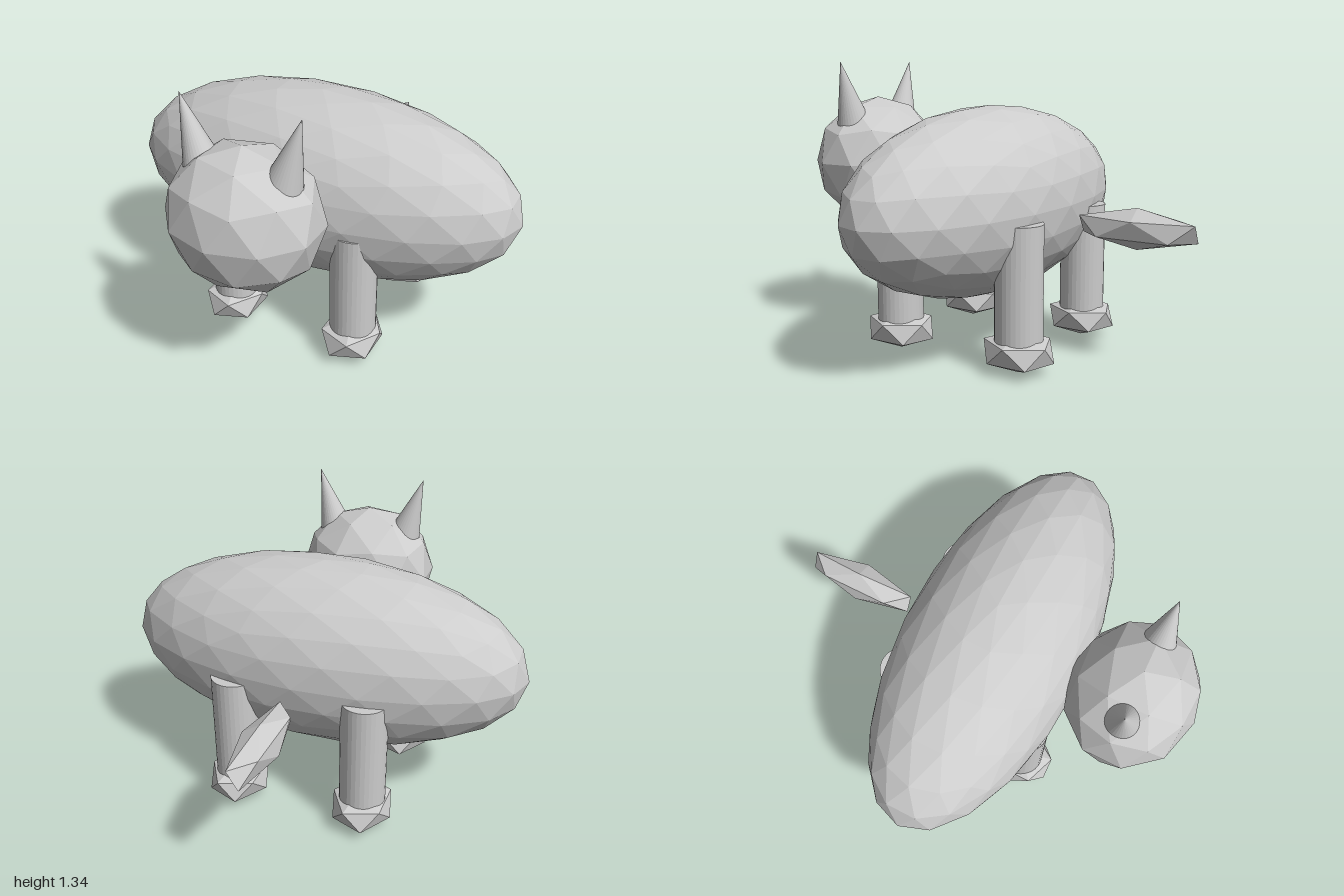
import * as THREE from 'three';

const grey = new THREE.MeshStandardMaterial({ color: 0xcccccc, flatShading: true });
grey.name = 'grey';

function addPart(parent, name, geometry, x, y, z) {
  const mesh = new THREE.Mesh(geometry, grey);
  mesh.name = name;
  mesh.position.set(x, y, z);
  parent.add(mesh);
  return mesh;
}

// Faceted ellipsoid with a vertex at each pole
function facetedBall(rx, ry, rz, detail) {
  const g = new THREE.IcosahedronGeometry(1, detail);
  g.rotateZ(-Math.atan(2 / (1 + Math.sqrt(5))));
  g.scale(rx, ry, rz);
  g.computeVertexNormals();
  return g;
}

export function createModel() {
  const model = new THREE.Group();
  model.name = 'animal';

  addPart(model, 'body', facetedBall(0.96, 0.437, 0.43, 3), 0, 0.7, 0.04);
  addPart(model, 'head', facetedBall(0.343, 0.317, 0.295, 1), 0, 0.847, 0.705);
  addPart(model, 'tail', facetedBall(0.09, 0.092, 0.31, 0), 0, 0.625, -0.705);

  // Ears: cones leaning outwards, measured from the tip
  const earGeometry = new THREE.ConeGeometry(0.1, 0.38, 32);
  earGeometry.translate(0, -0.19, 0);
  for (const side of [-1, 1]) {
    const ear = addPart(model, side > 0 ? 'leftEar' : 'rightEar', earGeometry, side * 0.27, 1.337, 0.71);
    ear.rotation.z = -side * 0.28;
  }

  // Legs, each with a low-poly foot
  const legGeometry = new THREE.CylinderGeometry(0.107, 0.107, 0.58, 32);
  const footGeometry = facetedBall(0.154, 0.097, 0.179, 0);
  for (const [end, z] of [['front', 0.34], ['rear', -0.3]]) {
    for (const side of [-1, 1]) {
      const leg = new THREE.Group();
      leg.name = end + (side > 0 ? 'LeftLeg' : 'RightLeg');
      leg.position.set(side * 0.312, 0, z);
      addPart(leg, 'shin', legGeometry, 0, 0.37, 0);
      addPart(leg, 'foot', footGeometry, 0, 0.097, 0);
      model.add(leg);
    }
  }
  return model;
}
